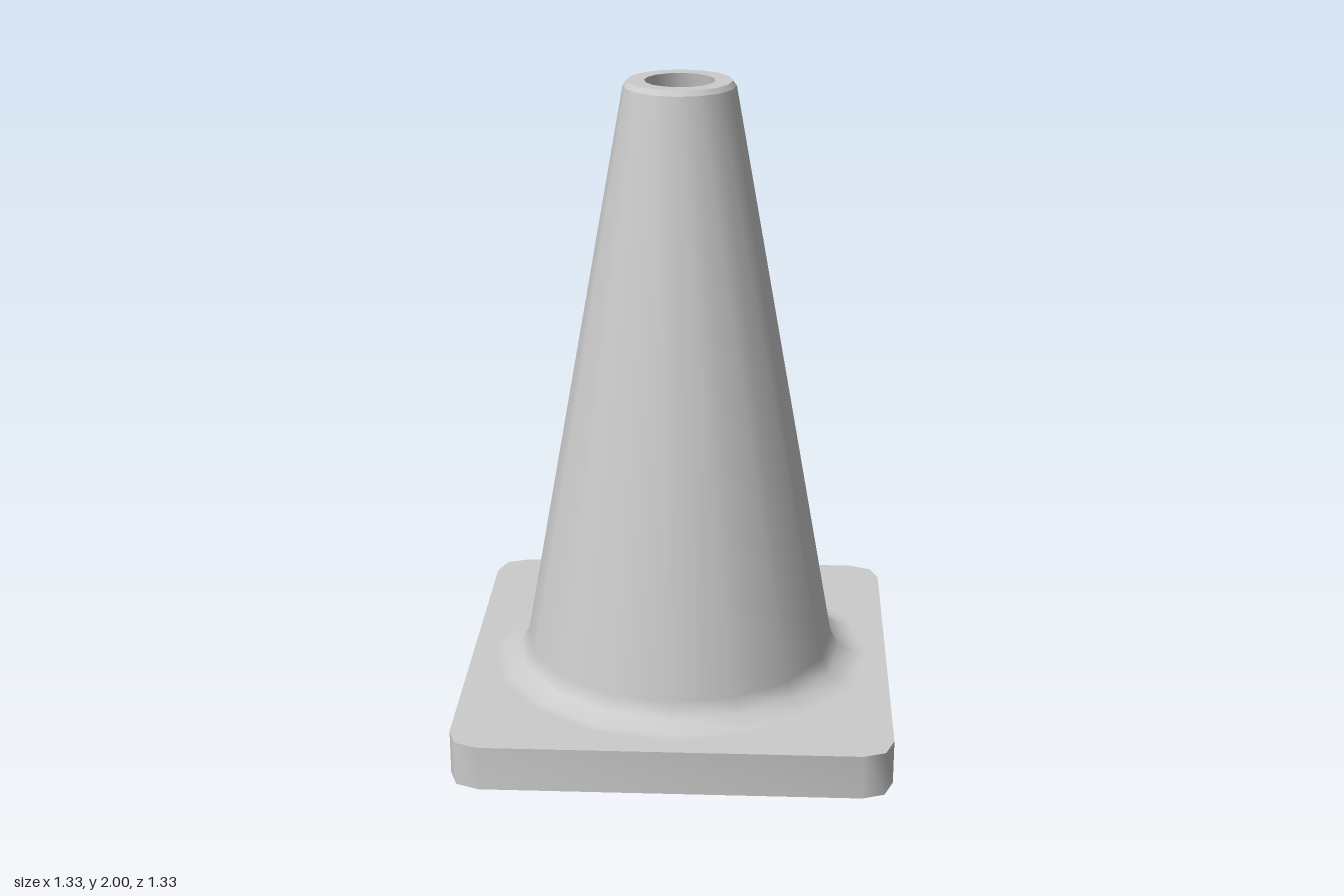
import * as THREE from 'three';
import { toCreasedNormals } from 'three/addons/utils/BufferGeometryUtils.js';

const SIDES = 16;
const PLATE_TOP = 0.14;
const SEAM = 0.6; // radius where the turned body meets the square plate

export function createModel() {
  const group = new THREE.Group();
  group.name = 'trafficCone';
  const material = new THREE.MeshStandardMaterial({ color: 0xcccccc });

  const add = (name, geometry) => {
    const mesh = new THREE.Mesh(geometry, material);
    mesh.name = name;
    group.add(mesh);
  };
  // Turned section; each profile runs up the outside, over the rim and down the inside
  const turned = (name, profile) =>
    add(name, new THREE.LatheGeometry(profile.map(([r, y]) => new THREE.Vector2(r, y)), SIDES));

  // Square plate with rounded corners and a round opening
  const outline = [];
  const corner = [[0.665, 0.57], [0.64, 0.637], [0.57, 0.665]];
  for (let i = 0; i < 4; i++) {
    for (const [x, y] of corner) {
      outline.push(new THREE.Vector2(x, y).rotateAround(new THREE.Vector2(), i * Math.PI / 2));
    }
  }
  const plate = new THREE.Shape(outline);
  const opening = [];
  for (let i = 0; i < SIDES; i++) {
    const a = -i / SIDES * Math.PI * 2;
    opening.push(new THREE.Vector2(Math.cos(a) * SEAM, Math.sin(a) * SEAM));
  }
  plate.holes.push(new THREE.Path(opening));
  const plateGeometry = new THREE.ExtrudeGeometry(plate, { depth: PLATE_TOP, bevelEnabled: false });
  plateGeometry.rotateX(-Math.PI / 2);
  add('basePlate', toCreasedNormals(plateGeometry, 0.9));

  // Outer skin with the flared foot
  turned('coneOuter', [[SEAM, PLATE_TOP], [0.565, PLATE_TOP], [0.515, 0.165], [0.487, 0.21], [0.168, 1.985]]);

  // Top rim with a small bevel
  turned('topRimBevel', [[0.168, 1.985], [0.157, 2]]);
  turned('topRim', [[0.157, 2], [0.105, 2]]);

  // Hollow inside, widening at the mouth
  turned('coneInner', [[0.105, 2], [0.44, 0.1]]);
  turned('mouthChamfer', [[0.44, 0.1], [0.52, 0]]);
  turned('mouthRing', [[0.52, 0], [SEAM, 0]]);

  return group;
}
